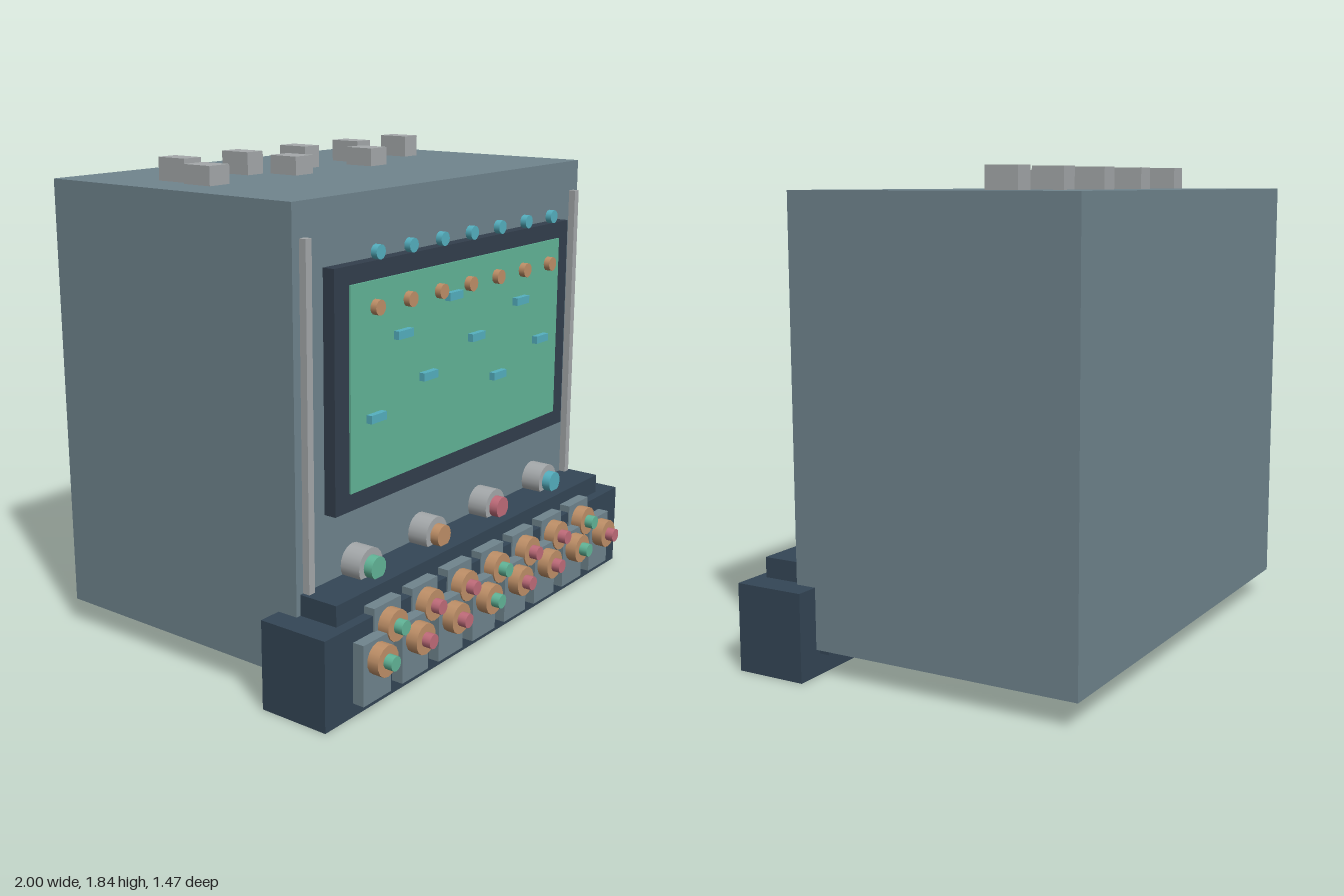
import * as THREE from 'three';

const mat = (name, color) => {
  const m = new THREE.MeshStandardMaterial({ color });
  m.name = name;
  return m;
};

export function createModel() {
  const model = new THREE.Group();
  model.name = 'controlConsole';

  const steel = mat('blue grey steel', 0x70858e);
  const navy = mat('dark navy', 0x344656);
  const slate = mat('frame slate', 0x333f4d);
  const silver = mat('silver', 0xa5a9ab);
  const green = mat('green', 0x62b598);
  const copper = mat('copper', 0xbf9068);
  const rose = mat('rose', 0xc06c7a);
  const cyan = mat('cyan', 0x55b0c0);

  const add = (name, geometry, material) => {
    const mesh = new THREE.Mesh(geometry, material);
    mesh.name = name;
    model.add(mesh);
    return mesh;
  };

  // Box given by its ranges on each axis
  const box = (name, material, [x0, x1], [y0, y1], [z0, z1]) =>
    add(name, new THREE.BoxGeometry(x1 - x0, y1 - y0, z1 - z0), material)
      .position.set((x0 + x1) / 2, (y0 + y1) / 2, (z0 + z1) / 2);

  // Faceted disc facing the front, from z0 to z1
  const disc = (name, material, x, y, r, z0, z1, sides = 12) => {
    const geometry = new THREE.CylinderGeometry(r, r, z1 - z0, sides).rotateX(Math.PI / 2);
    add(name, geometry, material).position.set(x, y, (z0 + z1) / 2);
  };

  // Cabinet, base and shelf
  box('cabinet', steel, [-0.91, 0.91], [0.1, 1.75], [-0.735, 0.412]);
  box('base', navy, [-1, 1], [0, 0.333], [0.33, 0.61]);
  box('shelf', navy, [-0.89, 0.89], [0.08, 0.41], [0.288, 0.57]);

  // Screen with its frame and the side rails
  box('screenFrame', slate, [-0.757, 0.757], [0.66, 1.52], [0.41, 0.46]);
  box('screen', green, [-0.68, 0.68], [0.725, 1.455], [0.45, 0.467]);
  for (const s of [-1, 1])
    box('sideRail', silver, [s * 0.86 - 0.015, s * 0.86 + 0.015], [0.4, 1.63], [0.41, 0.44]);

  // Scattered bars on the screen
  for (let i = 0; i < 8; i++) {
    const x = -0.55 + i * 0.155, y = 0.975 + 0.09 * ((i * 3) % 5);
    box('screenBar', cyan, [x - 0.043, x + 0.043], [y - 0.015, y + 0.015], [0.467, 0.49]);
  }

  // Two rows of small lamps
  for (let i = 0; i < 7; i++) {
    const x = -0.555 + i * 0.189;
    disc('upperLamp', cyan, x, 1.555, 0.026, 0.475, 0.5);
    disc('lowerLamp', copper, x, 1.365, 0.028, 0.475, 0.5);
  }

  // Four large dials above the shelf
  [green, copper, rose, cyan].forEach((colour, i) => {
    const x = -0.603 + i * 0.402;
    disc('dialRing', silver, x, 0.445, 0.068, 0.41, 0.495, 20);
    disc('dialCap', colour, x, 0.445, 0.042, 0.49, 0.53, 20);
  });

  // Two staggered rows of key plates, each with a collar and a button
  const keyRow = (count, x0, dy, zBack, plateHeight) => {
    for (let i = 0; i < count; i++) {
      const x = x0 + i * 0.2208, z = zBack + 0.045;
      box('keyPlate', steel, [x - 0.077, x + 0.077], [0.05 + dy, 0.05 + dy + plateHeight], [zBack, z]);
      disc('keyCollar', copper, x, 0.205 + dy, 0.058, z, z + 0.046, 14);
      disc('keyButton', i % 3 ? rose : green, x, 0.205 + dy, 0.027, z + 0.046, z + 0.08, 14);
    }
  };
  keyRow(8, -0.773, 0, 0.61, 0.225);
  keyRow(7, -0.6625, 0.08, 0.57, 0.23);

  // Blocks on the roof
  for (let i = 0; i < 5; i++) {
    const x = -0.68 + i * 0.329;
    box('rearRoofBlock', silver, [x - 0.042, x + 0.042], [1.745, 1.835], [-0.38, -0.25]);
  }
  for (let i = 0; i < 3; i++) {
    const x = -0.698 + i * 0.457;
    box('frontRoofBlock', silver, [x - 0.05, x + 0.05], [1.745, 1.82], [-0.228, -0.102]);
  }

  return model;
}
